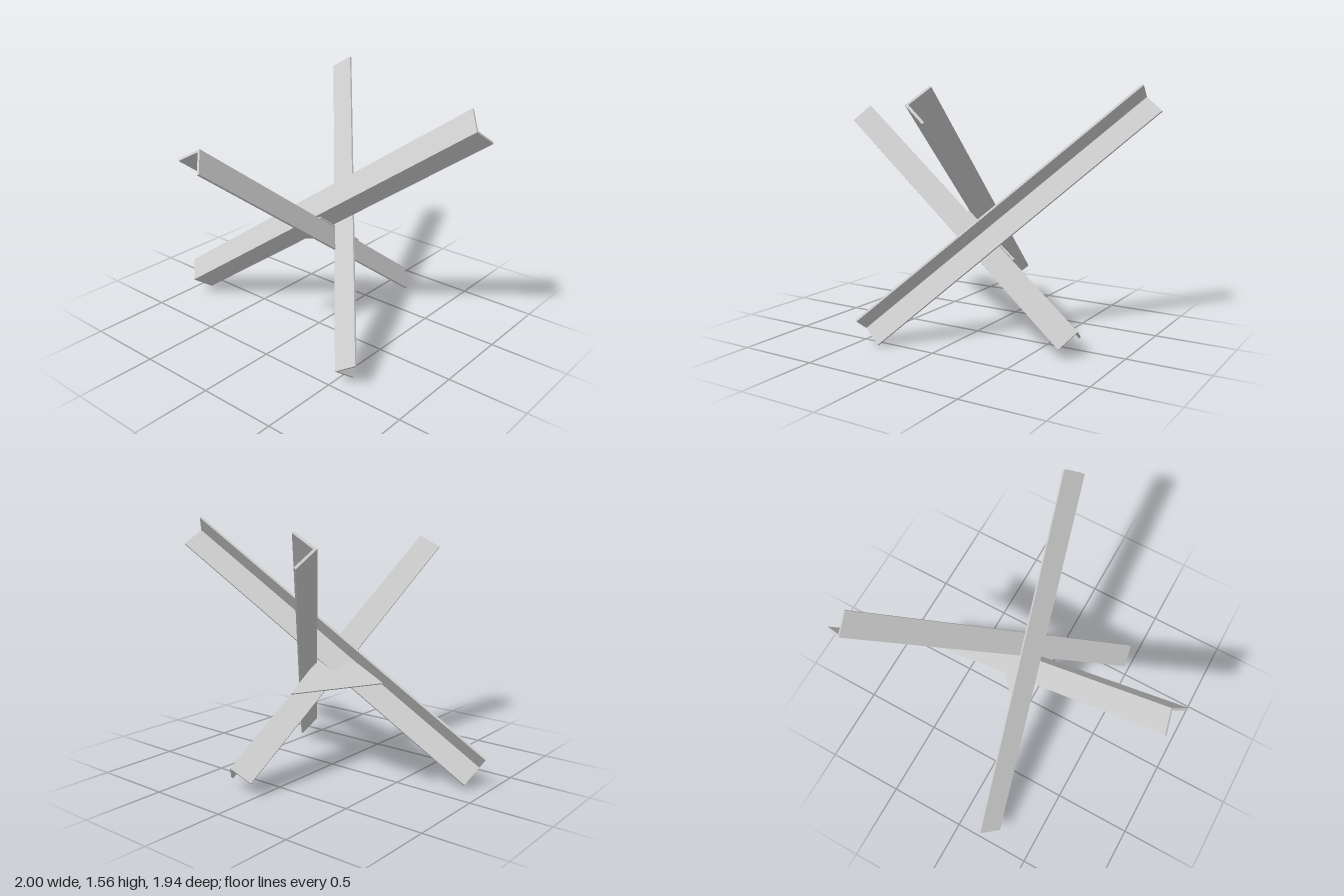
import * as THREE from 'three';

const V = (a) => new THREE.Vector3(...a);
const material = new THREE.MeshStandardMaterial({ color: 0xcccccc, flatShading: true });

// L-section beam: its outer corner runs start -> end, flanges point along f1 and f2
function angleBeam(name, start, end, f1, f2, width, thick = 0.014) {
  const a = V(start), axis = V(end).sub(a), length = axis.length();
  const z = axis.normalize();
  let first = V(f1), second = V(f2);
  if (z.clone().cross(first).dot(second) < 0) [first, second] = [second, first];
  const x = first.addScaledVector(z, -first.dot(z)).normalize();
  const y = z.clone().cross(x);

  const section = new THREE.Shape([
    [0, 0], [width, 0], [width, thick], [thick, thick], [thick, width], [0, width],
  ].map(([u, v]) => new THREE.Vector2(u, v)));
  const geometry = new THREE.ExtrudeGeometry(section, { depth: length, bevelEnabled: false });
  geometry.applyMatrix4(new THREE.Matrix4().makeBasis(x, y, z).setPosition(a));
  const mesh = new THREE.Mesh(geometry, material);
  mesh.name = name;
  return mesh;
}

// Flat triangular plate through three corners, centred on their plane
function trianglePlate(name, p, q, r, thick) {
  const a = V(p), x = V(q).sub(a), side = V(r).sub(a);
  const length = x.length();
  x.normalize();
  const z = x.clone().cross(side).normalize();
  const y = z.clone().cross(x);
  const shape = new THREE.Shape([
    new THREE.Vector2(0, 0),
    new THREE.Vector2(length, 0),
    new THREE.Vector2(side.dot(x), side.dot(y)),
  ]);
  const geometry = new THREE.ExtrudeGeometry(shape, { depth: thick, bevelEnabled: false });
  geometry.translate(0, 0, -thick / 2);
  geometry.applyMatrix4(new THREE.Matrix4().makeBasis(x, y, z).setPosition(a));
  const mesh = new THREE.Mesh(geometry, material);
  mesh.name = name;
  return mesh;
}

export function createModel() {
  const group = new THREE.Group();
  group.name = 'crossedBeamObstacle';
  group.add(
    // Three angle beams crossing near the middle
    angleBeam('sidewaysBeam', [-0.912, 0.13, 0.272], [0.963, 1.47, -0.17],
      [-0.085, 0.09, -0.1], [0.035, -0.09, -0.13], 0.16),
    angleBeam('backLeaningBeam', [-0.592, 1.488, -0.85], [0.525, 0.1, 0.475],
      [0.13, 0.08, -0.025], [0.035, -0.09, -0.115], 0.153),
    angleBeam('frontLeaningBeam', [-0.063, 1.42, 0.883], [0.145, 0.172, -0.763],
      [-0.13, -0.07, 0.03], [0.08, -0.1, 0.08], 0.152),
    // Gusset tying two of the beams together
    trianglePlate('gussetPlate', [0.08, 0.528, -0.305], [-0.32, 0.578, 0.1], [0.045, 0.79, 0.04], 0.012),
  );
  return group;
}
